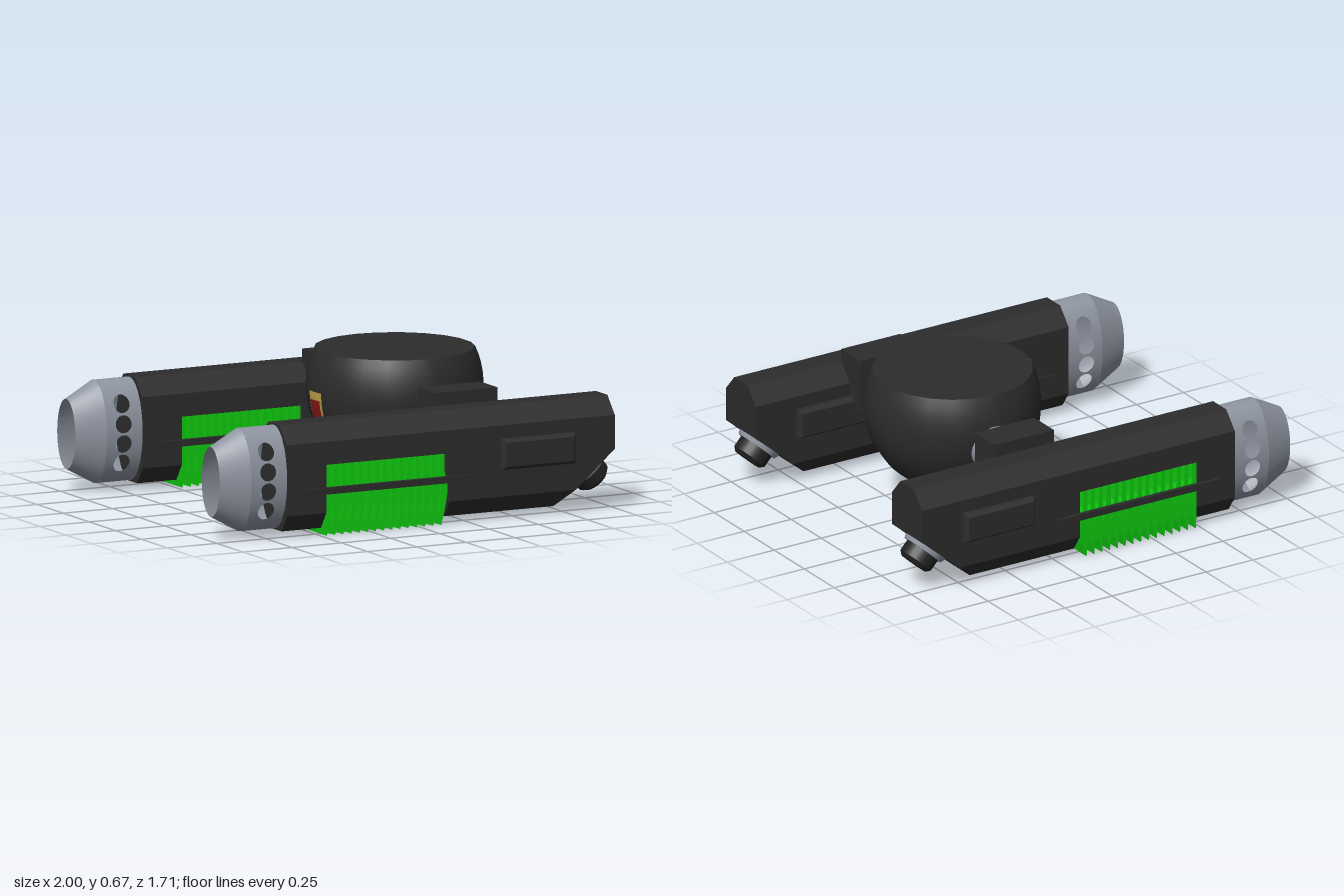
import * as THREE from 'three';
import { mergeGeometries } from 'three/addons/utils/BufferGeometryUtils.js';

const mat = (name, color, side = THREE.FrontSide) => {
  const m = new THREE.MeshStandardMaterial({ color, side });
  m.name = name;
  return m;
};

// Prism along x from rows [y, halfWidth]; endX(y) may slant the +x end
function prism(rows, x0, endX) {
  const pos = [];
  const quad = (a, b, c, d) => pos.push(...a, ...b, ...c, ...a, ...c, ...d);
  for (let i = 0; i < rows.length - 1; i++) {
    const [y0, w0] = rows[i], [y1, w1] = rows[i + 1];
    const p = endX(y0), q = endX(y1);
    quad([x0, y0, w0], [p, y0, w0], [q, y1, w1], [x0, y1, w1]);
    quad([p, y0, -w0], [x0, y0, -w0], [x0, y1, -w1], [q, y1, -w1]);
    quad([p, y0, w0], [p, y0, -w0], [q, y1, -w1], [q, y1, w1]);
    quad([x0, y0, -w0], [x0, y0, w0], [x0, y1, w1], [x0, y1, -w1]);
  }
  const [yb, wb] = rows[0], [yt, wt] = rows[rows.length - 1];
  const b = endX(yb), t = endX(yt);
  quad([x0, yb, -wb], [b, yb, -wb], [b, yb, wb], [x0, yb, wb]);
  quad([x0, yt, wt], [t, yt, wt], [t, yt, -wt], [x0, yt, -wt]);
  const g = new THREE.BufferGeometry();
  g.setAttribute('position', new THREE.Float32BufferAttribute(pos, 3));
  g.computeVertexNormals();
  return g;
}

// Elliptical exhaust shell, with four round ports cut through each side
function nozzleGeometry() {
  const A = 0.128, B = 0.235, x0 = -0.86, x1 = -0.68, h = 0.045;
  const parts = [];
  for (const c of [-0.135, -0.045, 0.045, 0.135]) {
    const s = new THREE.Shape();
    s.moveTo(x0, c - h);
    s.lineTo(x1, c - h);
    s.lineTo(x1, c);
    s.lineTo(x1, c + h);
    s.lineTo(x0, c + h);
    s.lineTo(x0, c);
    s.closePath();
    s.holes.push(new THREE.Path().absarc(-0.775, c, 0.04, 0, Math.PI * 2, true));
    const g = new THREE.ShapeGeometry(s, 10);
    const p = g.attributes.position, n = g.attributes.normal, v = new THREE.Vector3();
    for (let i = 0; i < p.count; i++) {
      const y = p.getY(i), z = A * Math.sqrt(1 - (y / B) ** 2);
      p.setZ(i, z);
      v.set(0, y / B ** 2, z / A ** 2).normalize();
      n.setXYZ(i, v.x, v.y, v.z);
    }
    parts.push(g, g.clone().rotateX(Math.PI));
  }
  const a0 = Math.asin(0.18 / B);
  const crown = new THREE.CylinderGeometry(1, 1, x1 - x0, 12, 1, true, a0, Math.PI - 2 * a0)
    .rotateZ(Math.PI / 2).scale(1, B, A).translate((x0 + x1) / 2, 0, 0);
  const cone = new THREE.CylinderGeometry(0.68, 1, 0.14, 40, 1, true)
    .rotateZ(Math.PI / 2).scale(1, B, A).translate(-0.93, 0, 0);
  parts.push(crown, crown.clone().rotateX(Math.PI), cone);
  return mergeGeometries(parts).translate(0, 0.27, 0);
}

// Row of cooling fins with pointed lower ends
function finsGeometry() {
  const parts = [], pitch = 0.0415;
  for (let i = 0; i < 15; i++) {
    const x = -0.479 + i * pitch;
    const s = new THREE.Shape([
      [0.004, 0], [0.02, 0.06], [0.037, 0.15], [0.037, 0.2],
      [0.022, 0.24], [0.022, 0.325], [0, 0.325], [0, 0.06],
    ].map(([a, b]) => new THREE.Vector2(x + a, b)));
    const g = new THREE.ExtrudeGeometry(s, { depth: 0.242, bevelEnabled: false });
    parts.push(g.translate(0, 0, -0.121));
  }
  return mergeGeometries(parts);
}

export function createModel() {
  const black = mat('charcoal', 0x2c2c2c);
  const dark = mat('dark charcoal', 0x222222);
  const grey = mat('steel grey', 0x8f95a1, THREE.DoubleSide);
  const green = mat('bright green', 0x10cc10);
  const red = mat('dark red', 0x8c1a14);
  const gold = mat('gold', 0xc2a04a);
  const model = new THREE.Group();
  model.name = 'twinPodCraft';

  const add = (parent, name, geo, material, x = 0, y = 0, z = 0) => {
    const m = new THREE.Mesh(geo, material);
    m.name = name;
    m.position.set(x, y, z);
    parent.add(m);
    return m;
  };

  // Central bowl with a flat lid
  const profile = [];
  for (let i = 0; i <= 20; i++) {
    const a = -Math.PI / 2 + (i / 20) * (Math.PI / 2 + Math.asin(0.17 / 0.4));
    profile.push(new THREE.Vector2(Math.max(0, 0.4 * Math.cos(a)), 0.5 + 0.4 * Math.sin(a)));
  }
  add(model, 'bowl', new THREE.LatheGeometry(profile, 22), black, 0.3);
  add(model, 'lid', new THREE.CircleGeometry(profile[20].x, 22).rotateX(-Math.PI / 2).rotateY(Math.PI / 2),
    black, 0.3, 0.67);

  // Plain coloured patch on the rear of the bowl
  const patch = (r, w, t0, t1) => new THREE.SphereGeometry(r, 8, 16, -w, 2 * w, t0, t1 - t0);
  add(model, 'patchBorder', patch(0.406, 0.135, 1.58, 2.3), gold, 0.3, 0.5);
  add(model, 'patchCentre', patch(0.409, 0.105, 1.67, 2.21), red, 0.3, 0.5);

  // Shared pod geometry
  const lower = [[0.03, 0.075], [0.105, 0.126], [0.275, 0.126]];
  const upper = [[0.43, 0.126], [0.51, 0.055]];
  const noseX = y => Math.min(0.985, 0.7 + (y - 0.03) * (0.285 / 0.245));
  const body = mergeGeometries([
    prism([...lower, ...upper], -0.68, () => -0.48),
    prism([[0.325, 0.126], ...upper], -0.48, () => 0.145),
    prism([...lower, ...upper], 0.145, noseX),
  ]);
  const nozzle = nozzleGeometry();
  const fins = finsGeometry();
  const boxShape = new THREE.Shape([
    [0.4, 0.23], [0.775, 0.23], [0.775, 0.37], [0.4, 0.37],
  ].map(p => new THREE.Vector2(...p)));
  const sidePanel = new THREE.ExtrudeGeometry(boxShape, {
    depth: 0.29, bevelThickness: 0.02, bevelSize: 0.015, bevelOffset: -0.015, bevelSegments: 1,
  }).translate(0, 0, -0.145);

  for (const side of [1, -1]) {
    const pod = new THREE.Group();
    pod.name = side > 0 ? 'frontPod' : 'backPod';
    pod.position.z = side * 0.692;
    model.add(pod);
    add(pod, 'podBody', body, black);
    add(pod, 'exhaustNozzle', nozzle, grey);
    add(pod, 'coolingFins', fins, green);
    add(pod, 'sidePanels', sidePanel, black);
    for (const s of [1, -1]) {
      add(pod, 'sideRail', new THREE.BoxGeometry(0.87, 0.03, 0.02), black, -0.165, 0.207, s * 0.131);
    }

    // Sensor on the slanted nose
    const sensor = new THREE.Group();
    sensor.name = 'noseSensor';
    sensor.position.set(0.882, 0.195, 0);
    sensor.rotation.z = -Math.PI / 2 - 0.83;
    pod.add(sensor);
    add(sensor, 'sensorRing', new THREE.CylinderGeometry(0.098, 0.113, 0.04, 28), grey, 0, 0.01);
    add(sensor, 'sensorBarrel', new THREE.CylinderGeometry(0.083, 0.083, 0.07, 24), dark, 0, 0.05);
    add(sensor, 'sensorTip', new THREE.CylinderGeometry(0.065, 0.083, 0.018, 24), dark, 0, 0.094);

    // Arm joining the pod to the bowl
    add(model, 'armBlock', new THREE.BoxGeometry(0.315, 0.253, 0.165), black, 0.327, 0.443, side * 0.558);
    const tube = (r, len) => new THREE.CylinderGeometry(r, r, len, 32).rotateX(Math.PI / 2);
    add(model, 'armTube', tube(0.108, 0.16), grey, 0.325, 0.425, side * 0.4);
    add(model, 'armCollar', tube(0.115, 0.012), grey, 0.325, 0.425, side * 0.472);
  }
  return model;
}
